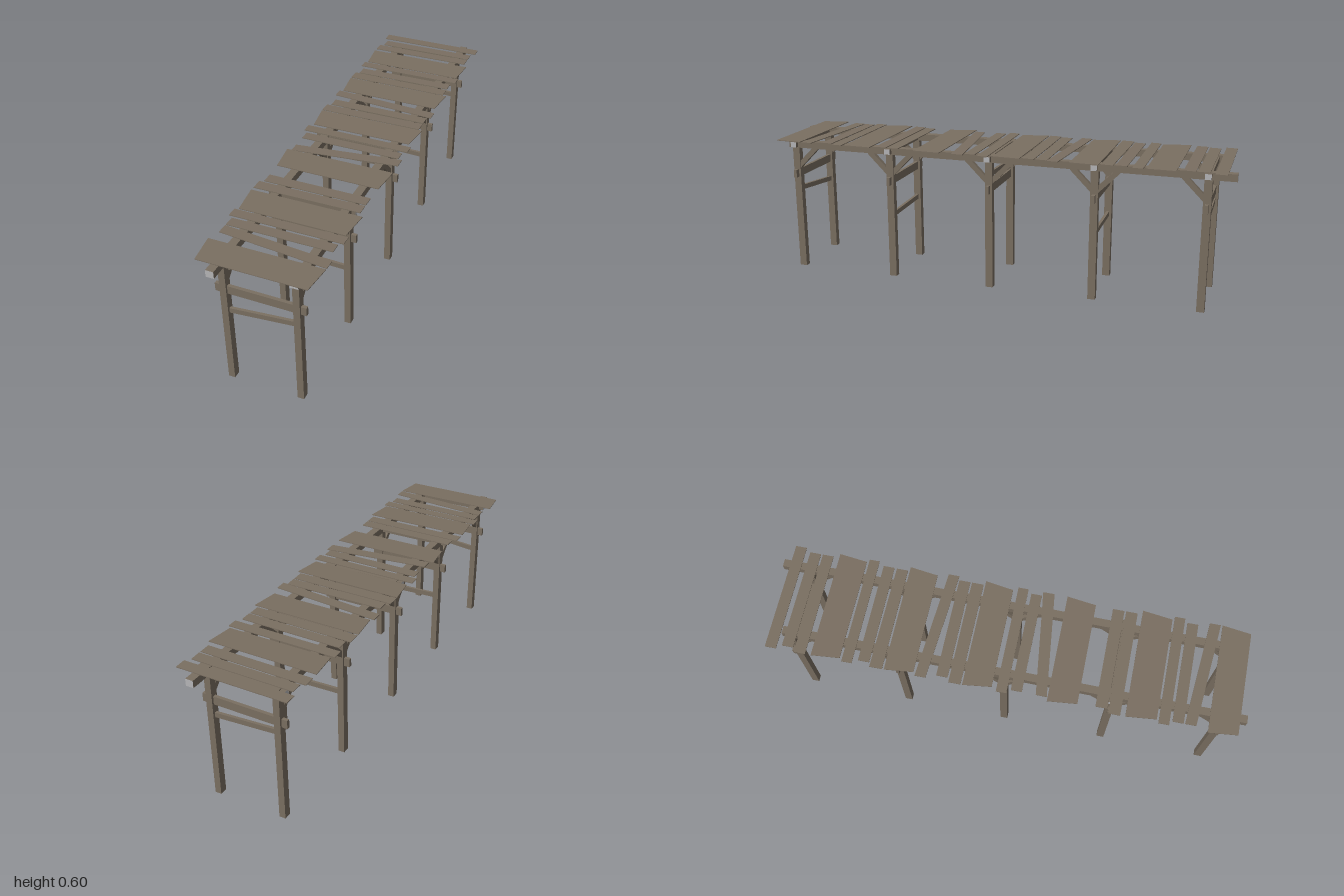
import * as THREE from 'three';

const wood = new THREE.MeshStandardMaterial({ color: 0x7a6f61 });
wood.name = 'weathered wood';
const endGrain = new THREE.MeshStandardMaterial({ color: 0xb6b6b8 });
endGrain.name = 'pale end grain';

const POST_X = 0.147;
const FRAMES = [0.91, 0.46, 0.01, -0.44, -0.89];
// Rail heights for each frame: [y at -x post, y at +x post]
const RAILS = [[0.338, 0.365], [0.289, 0.281], [0.49, 0.5], [0.289, 0.281], [0.39, 0.372]];

function box(parent, name, size, pos, material = wood) {
  const mesh = new THREE.Mesh(new THREE.BoxGeometry(...size), material);
  mesh.name = name;
  mesh.position.set(...pos);
  parent.add(mesh);
  return mesh;
}

// Thin board; left and right are [back z, front z] at each end, taper pulls in the front corners
function plank(parent, xl, xr, left, right, taper, y, tilt, pitch) {
  const geo = new THREE.BoxGeometry(1, 0.003, 1);
  const p = geo.attributes.position;
  const mid = (left[0] + left[1]) / 2;
  for (let i = 0; i < p.count; i++) {
    const isRight = p.getX(i) > 0, isFront = p.getZ(i) > 0;
    const z = (isRight ? right : left)[isFront ? 1 : 0];
    const x = isRight ? xr - (isFront ? taper : 0) : xl + (isFront ? taper : 0);
    p.setXYZ(i, x, y + p.getY(i) + x * tilt + (z - mid) * pitch, z);
  }
  geo.computeVertexNormals();
  const mesh = new THREE.Mesh(geo, wood);
  mesh.name = 'roofPlank';
  parent.add(mesh);
}

export function createModel() {
  const model = new THREE.Group();
  model.name = 'pergola';

  // Long beams with pale ends, staggered lengthwise
  const zEnds = [wood, wood, wood, wood, endGrain, endGrain];
  box(model, 'rightBeam', [0.033, 0.03, 1.92], [-0.146, 0.57, 0.04], zEnds);
  box(model, 'leftBeam', [0.033, 0.03, 1.94], [0.149, 0.57, -0.03], zEnds);

  // Post frames
  const xEnds = [endGrain, endGrain, wood, wood, wood, wood];
  FRAMES.forEach((z, i) => {
    const frame = new THREE.Group();
    frame.name = 'frame';
    frame.position.z = z;
    model.add(frame);
    box(frame, 'topCrossbeam', [0.366, 0.023, 0.026], [-0.001, 0.5705, 0], xEnds);
    box(frame, 'lowerCrossbeam', [0.366, 0.035, 0.014], [-0.001, 0.438, 0]);

    // Slanting rail between the posts
    const [a, b] = RAILS[i];
    const rail = box(frame, 'slantingRail', [0.28, 0.021, 0.012], [0, (a + b) / 2, 0]);
    rail.rotation.z = Math.atan2(b - a, 0.274);

    for (const side of [-1, 1]) {
      box(frame, 'post', [0.027, 0.56, 0.032], [side * POST_X, 0.28, 0]);
      // Knee braces up to the beam, omitted on the outer side of the end frames
      for (const dir of [-1, 1]) {
        if ((i === 0 && dir === 1) || (i === 4 && dir === -1)) continue;
        const knee = box(frame, 'kneeBrace', [0.018, 0.022, 0.125],
          [side * POST_X, 0.514, dir * 0.052]);
        knee.rotation.x = -dir * Math.PI * 0.25;
      }
    }
  });

  // Roof planks: [xLeft, xRight, left end z, right end z (null = same), corner taper]
  const L = -0.235, l = -0.217, R = 0.23, r = 0.213;
  const planks = [
    [L, R, [-0.967, -0.92]], [l, r, [-0.9, -0.853]], [L, r, [-0.845, -0.798]],
    [L, R, [-0.773, -0.655], null, 0.012], [L, R, [-0.645, -0.602]], [l, r, [-0.58, -0.533]],
    [L, r, [-0.528, -0.475], [-0.523, -0.475]], [L, R, [-0.467, -0.348], null, 0.014],
    [L, R, [-0.34, -0.295], [-0.303, -0.257]], [l, r, [-0.254, -0.207]],
    [L, r, [-0.2, -0.15]], [L, R, [-0.143, -0.025], null, 0.016],
    [L, R, [-0.005, 0.038]], [l, r, [0.053, 0.098]],
    [l, R, [0.155, 0.2], [0.1, 0.148]], [L, R, [0.203, 0.325], null, 0.014],
    [l, r, [0.397, 0.445]], [L, r, [0.452, 0.5]], [L, R, [0.52, 0.645], null, 0.014],
    [L, R, [0.653, 0.696]], [l, r, [0.707, 0.752]],
    [l, R, [0.757, 0.802], [0.798, 0.843]], [L, R, [0.85, 0.97], null, 0.014],
  ];
  const roof = new THREE.Group();
  roof.name = 'roof';
  model.add(roof);
  planks.forEach(([xl, xr, left, right, taper], i) => {
    plank(roof, xl, xr, left, right || left, taper || 0, 0.5945, 0.003 * (i % 3),
      taper ? -0.02 : 0.015);
  });
  return model;
}
